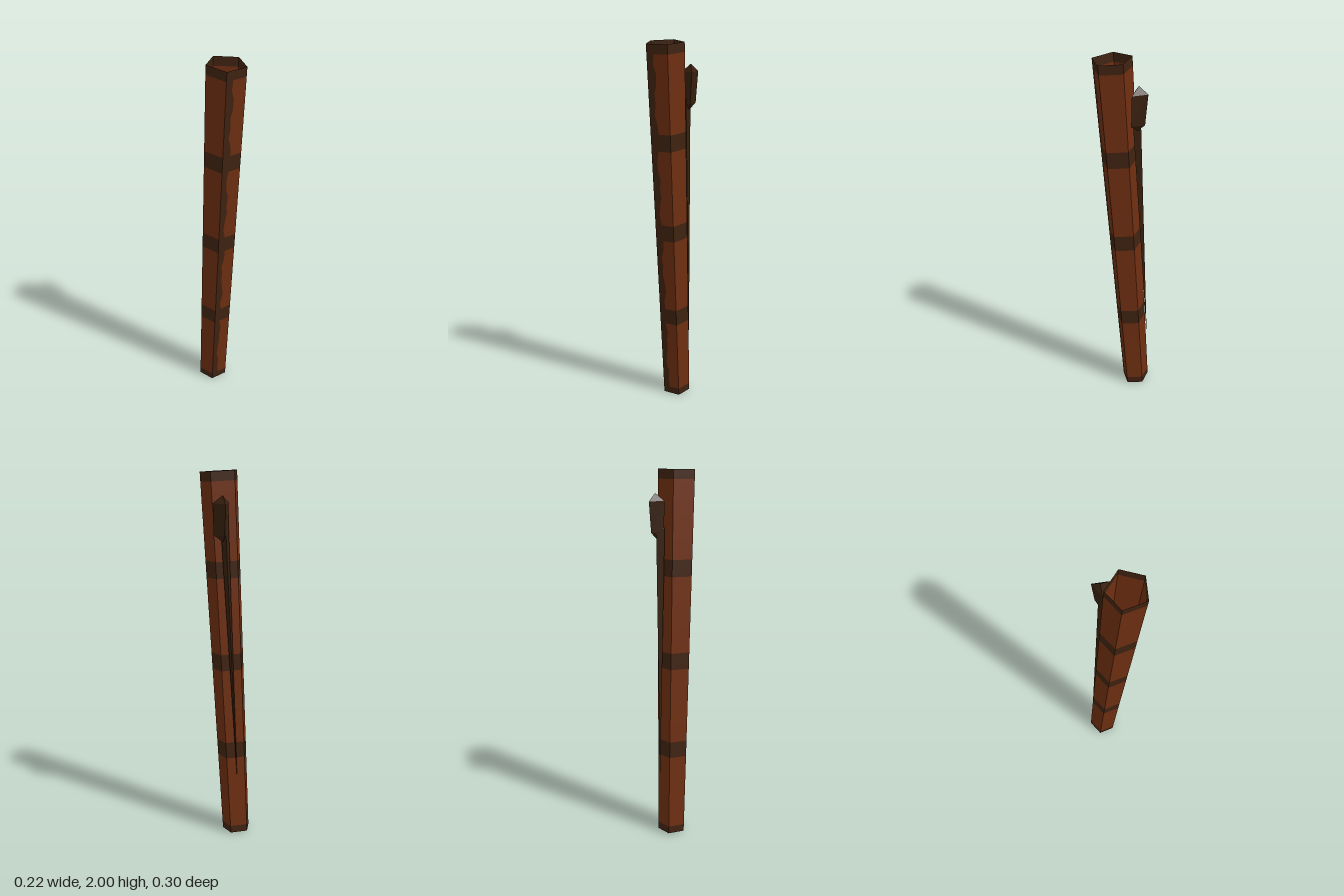
import * as THREE from 'three';

const wood = new THREE.MeshStandardMaterial({ color: 0x6f2f11, side: THREE.DoubleSide });
wood.name = 'reddish wood';
const dark = new THREE.MeshStandardMaterial({ color: 0x402311, side: THREE.DoubleSide });
dark.name = 'dark bark';
const spikeDark = new THREE.MeshStandardMaterial({ color: 0x38200f, side: THREE.DoubleSide });
spikeDark.name = 'dark thorn';

// Non-indexed quads keep every facet flat.
function quad(out, a, b, c, d) {
  for (const p of [a, b, c, a, c, d]) out.push(p.x, p.y, p.z);
}

function makeMesh(name, positions, material) {
  const geometry = new THREE.BufferGeometry();
  geometry.setAttribute('position', new THREE.Float32BufferAttribute(positions, 3));
  geometry.computeVertexNormals();
  const mesh = new THREE.Mesh(geometry, material);
  mesh.name = name;
  return mesh;
}

// Joins three-sided rings, listed from bottom to top.
function loft(name, rings, material) {
  const out = [];
  for (let r = 0; r < rings.length - 1; r++) {
    const lo = rings[r], hi = rings[r + 1];
    for (let i = 0; i < 3; i++) {
      const j = (i + 1) % 3;
      const corners = [lo[i], lo[j], hi[j], hi[i]].filter(
        (p, k, all) => !all.slice(0, k).some((q) => q.equals(p)));
      if (corners.length === 4) quad(out, ...corners);
      else for (const p of corners) out.push(p.x, p.y, p.z);
    }
  }
  return makeMesh(name, out, material);
}

const ring = (y, points) => points.map(([x, z]) => new THREE.Vector3(x, y, z));
const point = (x, y, z) => ring(y, [[x, z], [x, z], [x, z]]);

export function createModel() {
  const model = new THREE.Group();
  model.name = 'leaningHollowPole';

  // Five-sided open tube, wider at the top and leaning forward
  const top = [[-0.08, 0.14], [0.04, 0.147], [0.085, 0.035], [-0.01, -0.045], [-0.11, 0.02]]
    .map(([x, z]) => new THREE.Vector3(x, 2 - (z + 0.045) * 0.07, z));
  const bottom = [[-0.055, -0.015], [0.04, -0.007], [0.07, -0.09], [0, -0.15], [-0.077, -0.1]]
    .map(([x, z]) => new THREE.Vector3(x, -(z + 0.007) * 0.07, z));
  const at = (side, u, v) => {
    const a = bottom[side].clone().lerp(top[side], v);
    const b = bottom[(side + 1) % 5].clone().lerp(top[(side + 1) % 5], v);
    return a.lerp(b, u);
  };

  // Dark bands alternate with light wood; the front has a ragged dark strip
  const breaks = [0, 0.02, 0.225, 0.27, 0.475, 0.52, 0.725, 0.77, 0.975, 1];
  const strip = (v) => 0.34 + 0.06 * Math.sin(v * 43) + 0.05 * Math.sin(v * 97 + 1);
  const light = [], shade = [];
  for (let s = 0; s < breaks.length - 1; s++) {
    const band = s % 2 === 0;
    const steps = band ? 1 : 8;
    for (let k = 0; k < steps; k++) {
      const v0 = THREE.MathUtils.lerp(breaks[s], breaks[s + 1], k / steps);
      const v1 = THREE.MathUtils.lerp(breaks[s], breaks[s + 1], (k + 1) / steps);
      for (let side = 0; side < 5; side++) {
        const cell = (out, a0, a1, b0, b1) =>
          quad(out, at(side, a0, v0), at(side, b0, v0), at(side, b1, v1), at(side, a1, v1));
        if (side === 0 && !band) {
          cell(shade, 0, 0, strip(v0), strip(v1));
          cell(light, strip(v0), strip(v1), 1, 1);
        } else cell(band ? shade : light, 0, 0, 1, 1);
      }
    }
  }
  model.add(makeMesh('poleWood', light, wood), makeMesh('poleDarkBands', shade, dark));

  // Three-sided pointed knob beside the top
  model.add(loft('sideKnob', [
    point(0.08, 1.645, -0.04),
    ring(1.68, [[0.04, -0.045], [0.103, 0], [0.102, -0.073]]),
    ring(1.84, [[0.037, -0.045], [0.11, 0], [0.11, -0.085]]),
    point(0.085, 1.88, -0.045),
  ], spikeDark));

  // Long thin thorn running down from the knob
  model.add(loft('longThorn', [
    point(0.053, 0.33, -0.12),
    ring(1.7, [[0.036, -0.045], [0.07, -0.02], [0.078, -0.06]]),
    point(0.06, 1.74, -0.042),
  ], spikeDark));

  return model;
}
